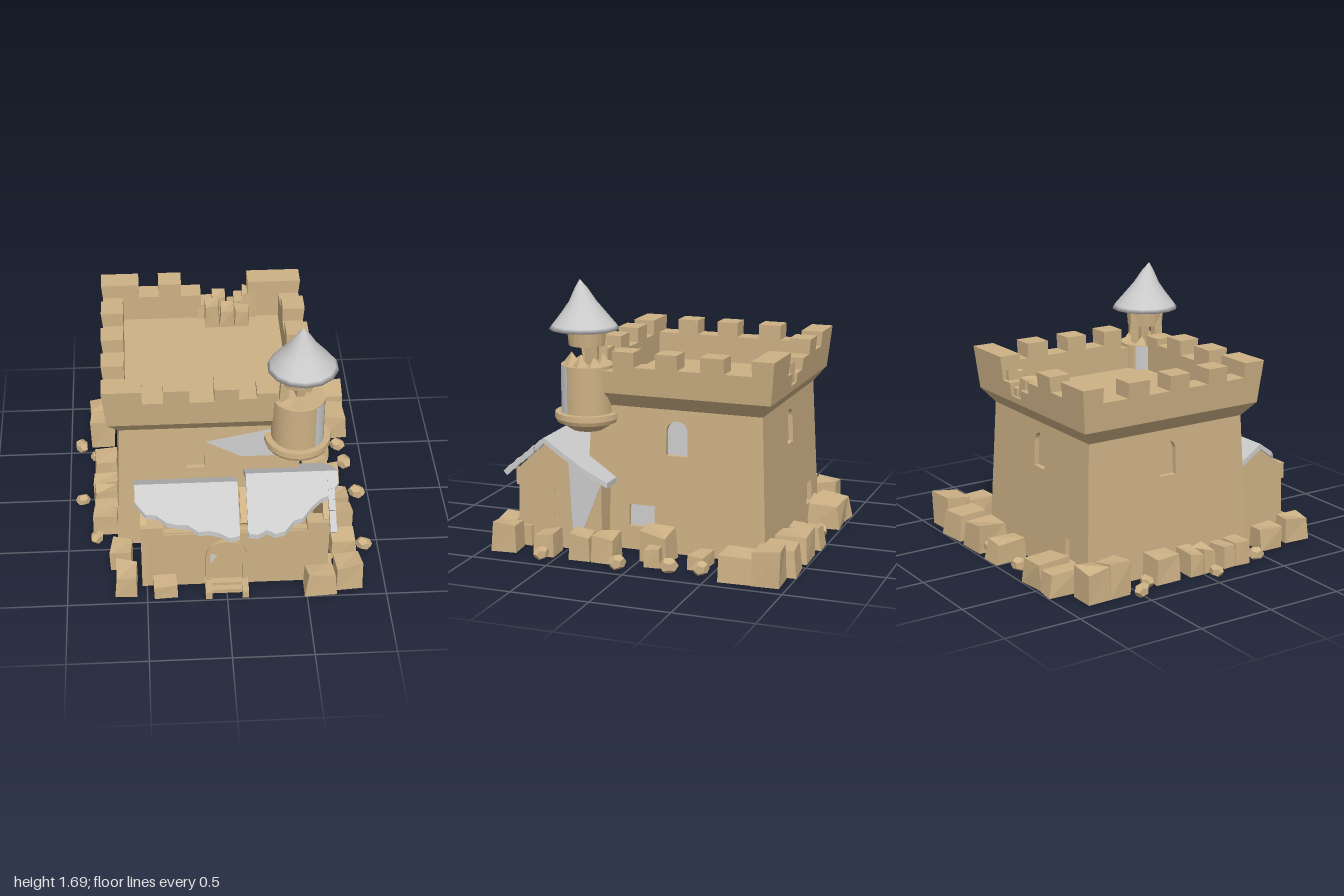
import * as THREE from 'three';

const stone = new THREE.MeshStandardMaterial({ color: 0xcdb185, flatShading: true });
const stoneSmooth = new THREE.MeshStandardMaterial({ color: 0xcdb185 });
const grey = new THREE.MeshStandardMaterial({ color: 0xcccccc, flatShading: true });
const greySmooth = new THREE.MeshStandardMaterial({ color: 0xcccccc, side: THREE.DoubleSide });

const CX = -0.085, CZ = -0.15; // keep centre
const wallHalf = y => 0.598 - 0.043 * y; // leaning keep wall
const flare = y => 0.632 + 0.1 * (y - 1.02); // leaning parapet

let seed = 7;
const rnd = () => (seed = (seed * 16807) % 2147483647) / 2147483647;

function add(parent, name, geo, mat = stone, x = 0, y = 0, z = 0) {
  const m = new THREE.Mesh(geo, mat);
  m.name = name;
  m.position.set(x, y, z);
  parent.add(m);
  return m;
}

// Box given by its limits
function box(x0, x1, y0, y1, z0, z1) {
  return new THREE.BoxGeometry(x1 - x0, y1 - y0, z1 - z0).translate((x0 + x1) / 2, (y0 + y1) / 2, (z0 + z1) / 2);
}

// Move every vertex of a geometry by a rule
function bend(geo, rule) {
  const p = geo.attributes.position, v = new THREE.Vector3();
  for (let i = 0; i < p.count; i++) {
    rule(v.fromBufferAttribute(p, i));
    p.setXYZ(i, v.x, v.y, v.z);
  }
  geo.computeVertexNormals();
  return geo;
}

const outline = points => new THREE.Shape(points.map(p => new THREE.Vector2(...p)));
const plate = (shape, depth) => new THREE.ExtrudeGeometry(shape, { depth, bevelEnabled: false });
const rect = (x, y, w, h) => outline([[x, y], [x + w, y], [x + w, y + h], [x, y + h]]);

function arch(w, h, y0 = 0, u = 0) {
  const s = new THREE.Shape();
  s.moveTo(u - w / 2, y0).lineTo(u + w / 2, y0).lineTo(u + w / 2, y0 + h - w / 2);
  s.absarc(u, y0 + h - w / 2, w / 2, 0, Math.PI, false);
  s.closePath();
  return s;
}

// Rough boulder: a box with each corner pushed about
function boulder(parent, x, z, w, d, h, y = 0) {
  const jit = Array.from({ length: 8 }, () => [rnd(), rnd(), rnd()]);
  const g = bend(new THREE.BoxGeometry(1, 1, 1), v => {
    const top = v.y > 0, j = jit[(v.x > 0 ? 1 : 0) + (top ? 2 : 0) + (v.z > 0 ? 4 : 0)];
    const k = top ? 0.26 : 0.1;
    v.set(v.x * (1 - k * j[0]) * w, top ? h * (1 - 0.2 * j[1]) : 0, v.z * (1 - k * j[2]) * d);
  });
  add(parent, 'boulder', g, stone, x, y, z).rotation.y = (rnd() - 0.5) * 0.16;
}

function buildKeep(root) {
  const keep = new THREE.Group();
  keep.name = 'keep';
  keep.position.set(CX, 0, CZ);
  root.add(keep);

  // Core, four leaning walls with recessed openings, and the flared band
  const T = 0.035;
  add(keep, 'keepCore', bend(box(-1, 1, 0, 0.91, -1, 1), v => {
    v.x *= wallHalf(v.y) - T;
    v.z *= wallHalf(v.y) - T;
  }));
  const wall = (turn, openings, backing) => {
    const side = new THREE.Group();
    side.name = 'keepWall';
    side.rotation.y = turn;
    keep.add(side);
    const b = wallHalf(0), t = wallHalf(0.91);
    const face = outline([[-b, 0], [b, 0], [t, 0.91], [-t, 0.91]]);
    face.holes.push(...openings);
    const lean = offset => v => { v.z += wallHalf(v.y) + offset; };
    add(side, 'wallFace', bend(plate(face, T), lean(-T)));
    openings.forEach(o => add(side, 'opening', bend(plate(o, 0.004), lean(-T)), backing));
    return (name, shape) => add(side, name, bend(plate(shape, 0.003), lean(0)), grey);
  };
  const onFront = wall(0, [arch(0.115, 0.23, 0.6, -0.085)], stone);
  onFront('barePatch', outline([[-0.02, 0.8], [0.2, 0.68], [0.54, 0.68], [0.54, 0.86], [0.38, 0.88]]));
  wall(Math.PI / 2, [arch(0.14, 0.22, 0.62, 0.01), rect(-0.3, 0.15, 0.17, 0.14)], grey);
  wall(Math.PI, [arch(0.12, 0.22, 0.62), rect(0.33, 0.12, 0.12, 0.14)], stone);
  wall(-Math.PI / 2, [arch(0.12, 0.22, 0.62)], stone);
  add(keep, 'flaredBand', bend(box(-1, 1, 0.91, 1.0, -1, 1), v => {
    const h = v.y < 0.95 ? 0.559 : flare(1.0);
    v.x *= h;
    v.z *= h;
  }));

  // Parapet pieces: outer faces follow the flare
  const H = 1.27, L = 1.175, I = 0.515, O = 0.65;
  const piece = (x0, x1, z0, z1, top) => add(keep, top === H ? 'merlon' : 'parapet',
    bend(box(x0, x1, 1.0, top, z0, z1), v => {
      if (Math.abs(v.x) > 0.6) v.x = Math.sign(v.x) * flare(v.y);
      if (Math.abs(v.z) > 0.6) v.z = Math.sign(v.z) * flare(v.y);
    }));
  const run = (cuts, tops, place) => tops.forEach((t, i) => place(cuts[i], cuts[i + 1], t));
  run([-O, -0.41, -0.28, -0.12, 0.03, 0.18, 0.29, 0.42, O], [H, L, H, L, H, 1.19, 1.23, 1.14],
    (a, b, t) => piece(a, b, I, O, t));
  run([-O, -0.41, -0.28, -0.13, 0.0, 0.1, 0.22, 0.31, O], [H, L, H, L, 1.1, 1.04, 1.12, H],
    (a, b, t) => piece(a, b, -O, -I, t));
  const sideCuts = [-I, -0.34, -0.19, -0.04, 0.1, 0.24, 0.38, I];
  run(sideCuts, [L, H, L, H, L, H, L], (a, b, t) => piece(-O, -I, a, b, t));
  run(sideCuts, [L, H, L, H, L, H, 1.14], (a, b, t) => piece(I, O, a, b, t));

  // Rubble in the breach of the back parapet
  for (let i = 0; i < 7; i++) {
    boulder(keep, 0.02 + 0.05 * i, i % 2 ? -0.45 : -0.56, 0.1, 0.12, 0.1 + 0.11 * rnd(), 1.0);
  }
}

function buildTurret(root) {
  const t = new THREE.Group();
  t.name = 'turret';
  t.position.set(0.465, 0, 0.44);
  root.add(t);
  const drum = (name, r1, r0, y0, y1, mat = stoneSmooth) =>
    add(t, name, new THREE.CylinderGeometry(r1, r0, y1 - y0, 20), mat, 0, (y0 + y1) / 2, 0);
  drum('corbel', 0.185, 0.1, 0.745, 0.8, stone);
  drum('corbelRing', 0.205, 0.195, 0.8, 0.825);
  drum('corbelRing', 0.205, 0.208, 0.825, 0.86);
  drum('turretWall', 0.165, 0.165, 0.86, 1.16);
  // Bare strips on the curved wall
  for (const a of [0.62, 3.75]) {
    add(t, 'bareStrip', new THREE.CylinderGeometry(0.168, 0.168, 0.298, 4, 1, true, a, 0.5), greySmooth, 0, 1.01, 0);
  }
  // Broken top: jagged stones and leaning posts under the upper drum
  for (let i = 0; i < 8; i++) {
    const a = i * 0.785, h = 0.04 + 0.05 * rnd();
    add(t, 'brokenStone', new THREE.ConeGeometry(0.06, h, 4), stone, 0.105 * Math.sin(a), 1.155 + h / 2, 0.105 * Math.cos(a));
  }
  [[-0.09, 0.03], [-0.03, -0.09], [0.06, -0.05], [0.01, 0.0]].forEach(([x, z], i) => {
    add(t, 'post', new THREE.BoxGeometry(0.055, 0.22, 0.055), stone, x, 1.27, z).rotation.set(0, i * 0.6, 0.06 * (i - 1));
  });
  drum('upperDrum', 0.125, 0.115, 1.28, 1.39, stone);
  // Drooping pointed roof with its tip bent a little
  const profile = [[0, 1.392], [0.218, 1.385], [0.2, 1.41], [0.135, 1.49], [0.085, 1.555], [0.04, 1.635], [0, 1.69]];
  const roof = new THREE.LatheGeometry(profile.map(p => new THREE.Vector2(...p)), 14);
  add(t, 'turretRoof', bend(roof, v => {
    const k = (v.y - 1.385) / 0.305;
    v.x += 0.018 - 0.008 * k;
    v.z += 0.01 + 0.03 * k * k;
  }), greySmooth);
}

function buildGatehouse(root) {
  const g = new THREE.Group();
  g.name = 'gatehouse';
  root.add(g);
  // Hollow house: gabled end walls ([-z, y] profile), front wall and short return to the keep
  const gable = (x0, x1, peak, eave) => add(g, 'gableEnd', plate(outline(
    [[-0.85, 0], [-0.28, 0], [-0.28, peak - 0.24], [-0.64, peak], [-0.84, eave]]), x1 - x0).rotateY(Math.PI / 2), stone, x0);
  gable(-0.53, -0.49, 0.625, 0.48);
  gable(0.6, 0.64, 0.685, 0.5);
  add(g, 'frontWall', box(-0.5, 0.61, 0, 0.44, 0.81, 0.85));
  add(g, 'returnWall', box(0.47, 0.61, 0, 0.42, 0.28, 0.32));
  add(g, 'beam', box(-0.53, 0.64, 0.385, 0.43, 0.83, 0.86));
  for (const x of [-0.53, 0.5]) add(g, 'eaveBlock', box(x, x + 0.14, 0.42, 0.49, 0.77, 0.86));
  for (const x of [-0.01, 0.09]) {
    add(g, 'brokenRafter', box(x, x + 0.05, -0.03, 0, -0.01, 0.22), stone, 0, 0.6, 0.64).rotation.x = 0.63;
  }

  // Roof slabs run from the ridge to an eave whose distance is given by a rule
  const slab = (x0, x1, ridge, slope, eave) => {
    const pts = [[x1, 0], [x0, 0]];
    for (let i = 0; i <= 10; i++) pts.push([x0 + (x1 - x0) * i / 10, -eave(i / 10, 0.012 * Math.sin(i * 2.3))]);
    const geo = plate(outline(pts), 0.035).rotateX(-Math.PI / 2);
    add(g, 'roofSlab', bend(geo, v => { v.y += ridge - 0.035 - slope * Math.abs(v.z); v.z += 0.64; }), grey);
  };
  slab(-0.56, 0.08, 0.66, 0.72, (s, j) => 0.09 + 0.2 * s ** 0.55 + j);
  slab(0.13, 0.7, 0.72, 0.87, (s, j) => 0.28 - 0.34 * Math.max(0, s - 0.38) + j);
  slab(-0.56, 0.08, 0.66, 0.67, () => -0.24);
  slab(0.13, 0.7, 0.72, 0.67, s => (s > 0.95 ? -0.25 : -0.4));
  // Remains of the verge at the open end
  for (let i = 0; i < 5; i++) {
    add(g, 'vergeStone', new THREE.BoxGeometry(0.04, 0.035, 0.065), grey, 0.655, 0.66 - 0.044 * i, 0.69 + 0.052 * i).rotation.x = 0.72 + 0.2 * rnd();
  }

  // Door with arched surround, threshold and step cheeks
  const surround = arch(0.26, 0.37);
  surround.holes.push(arch(0.205, 0.34));
  add(g, 'doorSurround', plate(surround, 0.03), stone, 0, 0, 0.845);
  add(g, 'door', plate(arch(0.21, 0.342), 0.01), stone, 0, 0, 0.845);
  add(g, 'barePatch', plate(outline([[-0.1, 0.18], [-0.06, 0.24], [-0.1, 0.26]]), 0.003), grey, 0, 0, 0.855);
  add(g, 'threshold', box(-0.13, 0.13, 0, 0.03, 0.85, 0.94));
  add(g, 'upperStep', box(-0.1, 0.1, 0.03, 0.05, 0.85, 0.9));
  for (const x of [-0.115, 0.115]) add(g, 'stepCheek', box(x - 0.02, x + 0.02, 0, 0.055, 0.85, 0.99));

  // Small windows and the bare strip on the end wall
  add(g, 'window', plate(rect(-0.39, 0.23, 0.09, 0.15), 0.012), stone, 0, 0, 0.843);
  const endPanel = (name, shape, mat) => add(g, name, plate(shape, 0.005).rotateY(Math.PI / 2), mat, 0.638);
  endPanel('window', rect(-0.69, 0.21, 0.09, 0.18), stone);
  endPanel('barePatch', outline([[-0.47, 0.02], [-0.45, 0.02], [-0.285, 0.43], [-0.5, 0.56]]), grey);
}

function buildRocks(root) {
  const r = new THREE.Group();
  r.name = 'rocks';
  root.add(r);
  const height = () => 0.15 + 0.045 * rnd();
  // Rows along the walls: position along the row and width
  [[-0.59, 0.14], [-0.41, 0.21], [0.075, 0.15], [0.34, 0.22], [0.61, 0.22]]
    .forEach(([x, w]) => boulder(r, x, -0.88, w, 0.23, height()));
  [[0.195, 0.15], [0.355, 0.15], [0.59, 0.14], [0.865, 0.17]]
    .forEach(([z, d]) => boulder(r, 0.765, z, 0.17, d, height()));
  [[-0.78, 0.16], [-0.63, 0.16], [-0.26, 0.18], [-0.05, 0.1], [0.05, 0.1], [0.2, 0.1], [0.3, 0.11]]
    .forEach(([z, d]) => boulder(r, z < -0.5 ? -0.78 : -0.755, z, 0.17, d, z < -0.5 ? 0.23 : height()));
  // Loose blocks: x, z, width, depth, height
  [[0.825, -0.87, 0.2, 0.18, 0.24], [0.825, -0.685, 0.2, 0.23, 0.19], [0.68, -0.39, 0.2, 0.11, 0.1],
    [0.645, -0.1, 0.18, 0.2, 0.2], [0.76, -0.115, 0.12, 0.11, 0.13], [0.585, 0.93, 0.21, 0.14, 0.17],
    [0.615, 0.82, 0.11, 0.16, 0.14], [-0.385, 0.91, 0.15, 0.12, 0.11], [-0.63, 0.855, 0.14, 0.19, 0.17],
    [-0.657, 0.617, 0.145, 0.165, 0.16]].forEach(a => boulder(r, ...a));
  // Small stones scattered outside the rows
  [[-0.155, -0.915], [0.2, -0.915], [0.625, -0.63], [0.845, -0.445], [0.87, -0.25], [0.92, 0.065], [0.905, 0.575],
    [-0.815, 0.42], [-0.91, 0.042], [-0.815, -0.41], [-0.925, -0.52]].forEach(([x, z]) => {
    const size = 0.085 + 0.025 * rnd();
    const g = new THREE.DodecahedronGeometry(size * 0.56, 0).scale(1.05, 0.85, 0.8);
    add(r, 'smallStone', g, stone, x, size * 0.46, z).rotation.y = 3 * rnd();
  });
}

export function createModel() {
  const root = new THREE.Group();
  root.name = 'ruinedCastle';
  buildKeep(root);
  buildTurret(root);
  buildGatehouse(root);
  buildRocks(root);
  return root;
}
